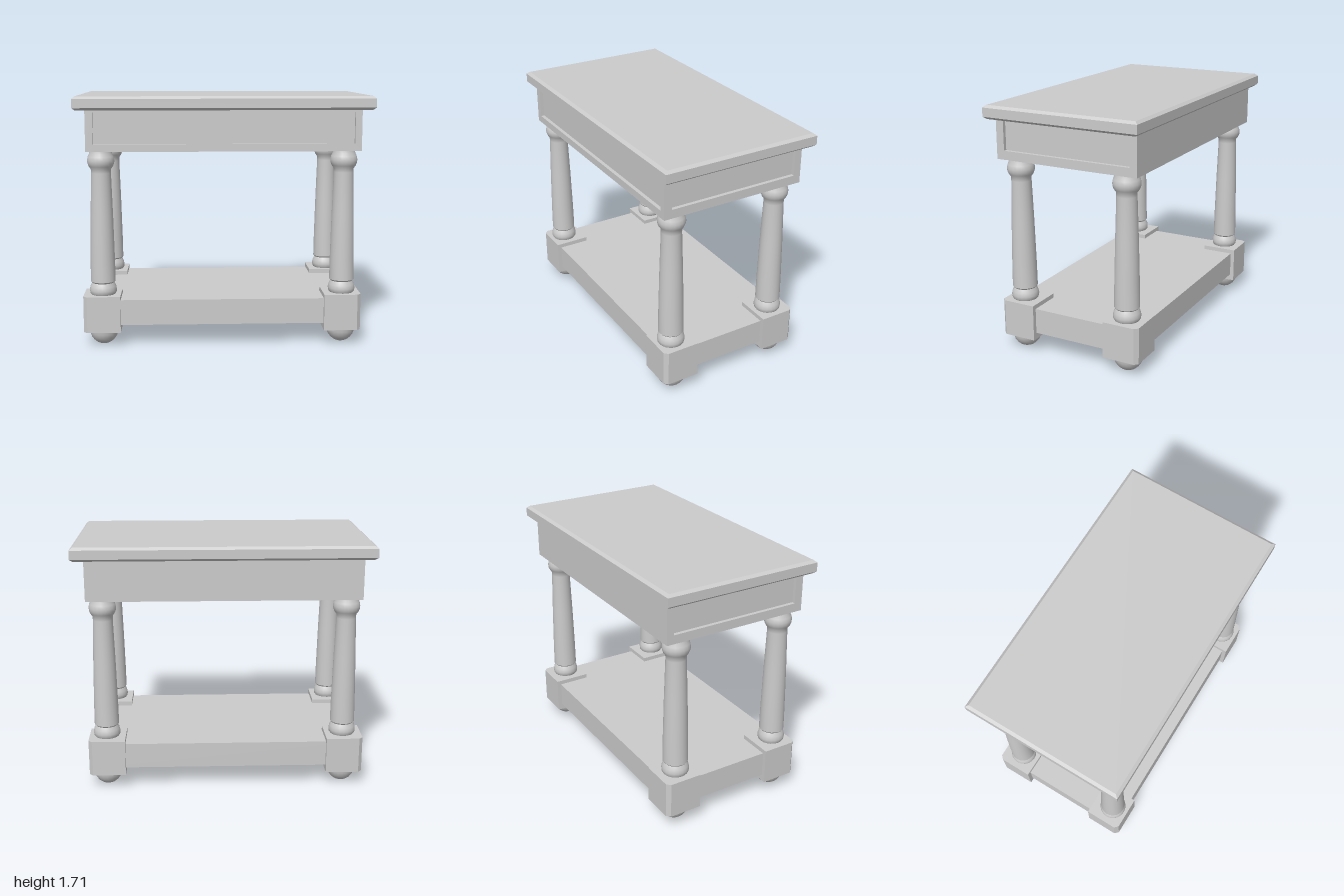
import * as THREE from 'three';
import { toCreasedNormals } from 'three/addons/utils/BufferGeometryUtils.js';

const material = new THREE.MeshStandardMaterial({ color: 0xcccccc });

function add(parent, name, geometry, x = 0, y = 0, z = 0) {
  const mesh = new THREE.Mesh(geometry, material);
  mesh.name = name;
  mesh.position.set(x, y, z);
  parent.add(mesh);
  return mesh;
}

// Box given by its minimum and maximum corners
function addBox(parent, name, [x0, y0, z0], [x1, y1, z1]) {
  return add(parent, name, new THREE.BoxGeometry(x1 - x0, y1 - y0, z1 - z0),
    (x0 + x1) / 2, (y0 + y1) / 2, (z0 + z1) / 2);
}

const polygon = (points) => new THREE.Shape(points.map(([x, y]) => new THREE.Vector2(x, y)));
const rectangle = (x0, y0, x1, y1) => polygon([[x0, y0], [x1, y0], [x1, y1], [x0, y1]]);

// Flat frame around a recessed panel, facing +z
function frameGeometry(outer, inner, depth) {
  const shape = rectangle(...outer);
  shape.holes.push(rectangle(...inner));
  return new THREE.ExtrudeGeometry(shape, { depth, bevelEnabled: false });
}

// Turned profile with smooth curves and sharp steps
function turned(points, segments) {
  const profile = points.map(([r, y]) => new THREE.Vector2(r, y));
  return toCreasedNormals(new THREE.LatheGeometry(profile, segments), 0.7);
}

export function createModel() {
  const model = new THREE.Group();
  model.name = 'sideTable';

  // Table top with chamfered edges
  const topGeometry = new THREE.ExtrudeGeometry(rectangle(-0.98, -0.535, 0.98, 0.535), {
    depth: 0.06, bevelThickness: 0.016, bevelSize: 0.02, bevelSegments: 1,
  });
  topGeometry.rotateX(-Math.PI / 2);
  add(model, 'tableTop', topGeometry, 0, 1.63, 0);

  // Apron: plain at the back, recessed panels at the front and both ends
  const apron = new THREE.Group();
  apron.name = 'apron';
  model.add(apron);
  const depth = 0.025, bottom = 1.34, top = 1.62;
  const left = 0.915, right = -0.92, front = 0.515, back = -0.51;
  addBox(apron, 'apronCore', [right + depth, bottom, back], [left - depth, top, front - depth]);
  add(apron, 'frontFrame',
    frameGeometry([right, bottom, left, top], [-0.87, 1.39, 0.87, 1.6], depth), 0, 0, front - depth);
  const endOuter = [back, bottom, front - depth, top];
  const endInner = [-0.46, 1.4, 0.46, 1.605];
  const mirrored = ([a, b, c, d]) => [-c, b, -a, d];
  add(apron, 'leftFrame', frameGeometry(mirrored(endOuter), mirrored(endInner), depth), left - depth)
    .rotation.y = Math.PI / 2;
  add(apron, 'rightFrame', frameGeometry(endOuter, endInner, depth), right + depth)
    .rotation.y = -Math.PI / 2;

  // Lower shelf between the corner blocks
  addBox(model, 'shelf', [-0.93, 0.15, -0.495], [0.905, 0.325, 0.485]);

  // Tapered column with a bead at each end
  const columnGeometry = turned([
    [0.08, 0.35], [0.09, 0.365], [0.093, 0.385], [0.088, 0.41], [0.076, 0.435],
    [0.085, 0.445], [0.083, 0.6], [0.076, 0.9], [0.067, 1.19],
    [0.068, 1.215], [0.082, 1.235], [0.09, 1.255], [0.092, 1.275], [0.087, 1.3],
    [0.077, 1.32], [0.074, 1.345],
  ], 20);

  // Half-round foot
  const foot = [[0, 0]];
  for (let i = 1; i <= 6; i++) {
    const a = (i / 6) * Math.PI / 2;
    foot.push([0.1 * Math.sin(a), 0.108 * (1 - Math.cos(a))]);
  }
  const footGeometry = turned(foot, 20);

  // Corner block with its outer vertical edge chamfered
  function blockGeometry(sx, sz) {
    const h = 0.126, c = 0.025;
    const points = [[-h, -h], [h, -h], [h, h - c], [h - c, h], [-h, h]]
      .map(([x, z]) => [x * sx, -z * sz]);
    const geometry = new THREE.ExtrudeGeometry(polygon(points), { depth: 0.25, bevelEnabled: false });
    return geometry.rotateX(-Math.PI / 2);
  }

  for (const sx of [-1, 1]) {
    for (const sz of [-1, 1]) {
      const leg = new THREE.Group();
      leg.name = (sz > 0 ? 'front' : 'back') + (sx > 0 ? 'Left' : 'Right') + 'Leg';
      model.add(leg);
      const x = sx > 0 ? 0.815 : -0.83;
      add(leg, 'column', columnGeometry, x, 0, sz > 0 ? 0.402 : -0.388);
      add(leg, 'cornerBlock', blockGeometry(sx, sz), sx > 0 ? 0.81 : -0.834, 0.105, sz > 0 ? 0.389 : -0.397);
      add(leg, 'foot', footGeometry, x, 0, 0.398 * sz);
    }
  }
  return model;
}
